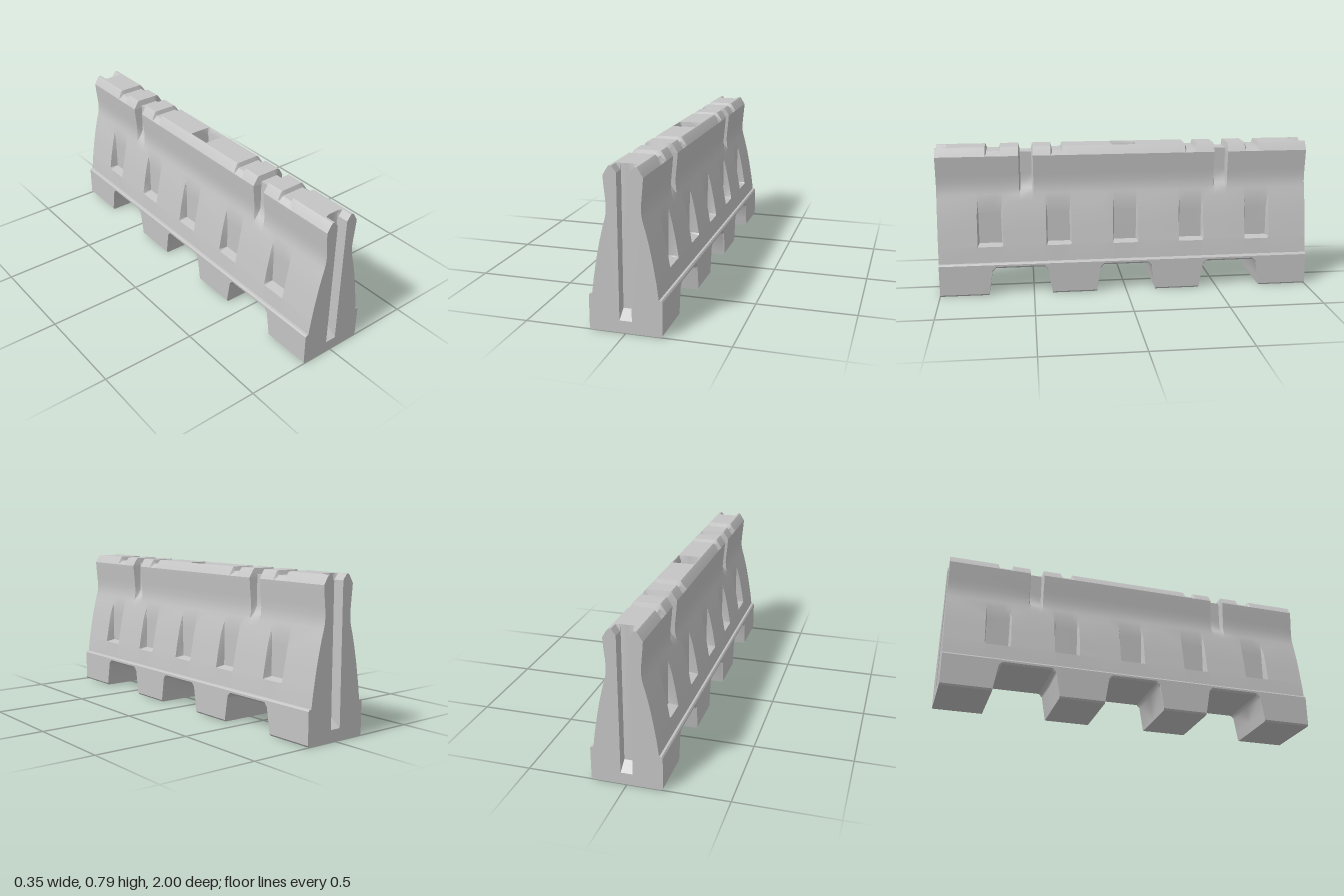
import * as THREE from 'three';
import { toCreasedNormals } from 'three/addons/utils/BufferGeometryUtils.js';

const { clamp, lerp } = THREE.MathUtils;

// Features along the length: centre, half width, width of the sloping edge
const mirrored = (c, h, e) => [[c, h, e], [-c, h, e]];
const POCKETS = [[0, 0.06, 0.008], ...mirrored(0.36, 0.06, 0.008), ...mirrored(0.725, 0.06, 0.008)];
const GROOVES = mirrored(0.527, 0.03, 0.008);
const NOTCHES = [...mirrored(0.7, 0.032, 0.008), ...mirrored(0.362, 0.024, 0.008)];
const ARCHES = [[0, 0.14, 0.02], ...mirrored(0.57, 0.148, 0.022)];
const ARCH_TOPS = [[0, 0.122, 0.018], ...mirrored(0.57, 0.13, 0.018)];
const FILLER = [[0, 0.054, 0.01]];
const SLOTS = mirrored(1, 0.055, 0.007);

// 1 inside a feature, 0 outside, sloping over its edge
const amount = (list, z) =>
  Math.max(...list.map(([c, h, e]) => clamp((h + e - Math.abs(z - c)) / e, 0, 1)));

// Side wall outline, bottom to shoulder
const WALL = [
  [0.16, 0.178], [0.149, 0.262], [0.147, 0.272], [0.134, 0.35], [0.118, 0.43], [0.101, 0.5],
  [0.09, 0.537], [0.084, 0.565], [0.082, 0.6], [0.085, 0.64], [0.09, 0.69], [0.094, 0.74],
];

// Half cross-sections at z, each running from the bottom up to the centre line
function section(z) {
  const bottom = 0.13 * amount(ARCHES, z) + 0.02 * amount(ARCH_TOPS, z);
  const pocket = amount(POCKETS, z);
  const groove = amount(GROOVES, z);
  const slot = amount(SLOTS, z);
  const hole = amount(FILLER, z);
  const top = 0.785 - 0.022 * amount(NOTCHES, z) - 0.03 * groove;

  const base = [
    [0, bottom], [0.169, bottom], [0.177, bottom + 0.009],
    [0.177, 0.169], [0.171, 0.177], [0.16, 0.178],
  ];

  const grooved = (x, y) => lerp(x, Math.min(x, 0.05), groove * clamp((y - 0.537) / 0.06, 0, 1));
  const wall = WALL.map(([x, y]) => {
    const recessed = y > 0.27 && y < 0.52 ? lerp(x, Math.min(x, 0.1), pocket) : x;
    return [grooved(recessed, y), y];
  });

  // Crown dips into the end slots and the filler hole
  const inner = Math.abs(z) < 0.3 ? 0.05 : 0.03;
  const slotFloor = lerp(0.1, 0.06, clamp((Math.abs(z) - 0.945) / 0.055, 0, 1));
  const floor = lerp(lerp(top, 0.65, hole), slotFloor, slot);
  const lip = top - 0.03 * Math.max(slot, hole);
  const crown = [
    wall[wall.length - 1], [grooved(0.072, top), top - 0.009], [grooved(0.064, top), top],
    [grooved(inner + 0.01 + 0.012 * slot, top), top], [inner, lip], [inner, floor], [0, floor],
  ];
  return { base, wall, crown };
}

// Stations at every feature edge
const stations = [...new Set(
  [...POCKETS, ...GROOVES, ...NOTCHES, ...ARCHES, ...ARCH_TOPS, ...FILLER, ...SLOTS]
    .flatMap(([c, h, e]) => [c - h - e, c - h, c + h, c + h + e])
    .concat(-1, 1)
    .filter((z) => Math.abs(z) <= 1)
    .map((z) => Number(z.toFixed(4)))
)].sort((a, b) => a - b);

// Skin one part of the cross-section along the length, on both sides
function loft(part) {
  const positions = [];
  const index = [];
  for (const side of [1, -1]) {
    const start = positions.length / 3;
    const rows = stations.map((z) => section(z)[part]);
    const n = rows[0].length;
    rows.forEach((row, s) => row.forEach(([x, y]) => positions.push(side * x, y, stations[s])));
    for (let s = 0; s < rows.length - 1; s++) {
      for (let i = 0; i < n - 1; i++) {
        const a = start + s * n + i, b = a + 1, c = a + n, d = c + 1;
        if (side > 0) index.push(a, b, c, b, d, c);
        else index.push(a, c, b, b, c, d);
      }
    }
  }
  const geometry = new THREE.BufferGeometry();
  geometry.setAttribute('position', new THREE.Float32BufferAttribute(positions, 3));
  geometry.setIndex(index);
  return toCreasedNormals(geometry, 0.6);
}

// Flat end with the slot cut out of it
function endFace() {
  const { base, wall, crown } = section(1);
  const half = [...base, ...wall.slice(1), ...crown.slice(1)];
  const other = half.slice(1, -1).reverse().map(([x, y]) => [-x, y]);
  const outline = [...half, ...other].map(([x, y]) => new THREE.Vector2(x, y));
  return new THREE.ShapeGeometry(new THREE.Shape(outline)).translate(0, 0, 1);
}

export function createModel() {
  const model = new THREE.Group();
  model.name = 'roadBarrier';
  const plastic = new THREE.MeshStandardMaterial({ color: 0xc4c4c4 });
  plastic.name = 'grey plastic';

  const add = (name, geometry) => {
    const mesh = new THREE.Mesh(geometry, plastic);
    mesh.name = name;
    model.add(mesh);
    return mesh;
  };

  add('footedBase', loft('base'));
  add('sideWalls', loft('wall'));
  add('topCrown', loft('crown'));
  add('frontEnd', endFace());
  add('backEnd', endFace()).rotation.y = Math.PI;
  return model;
}
